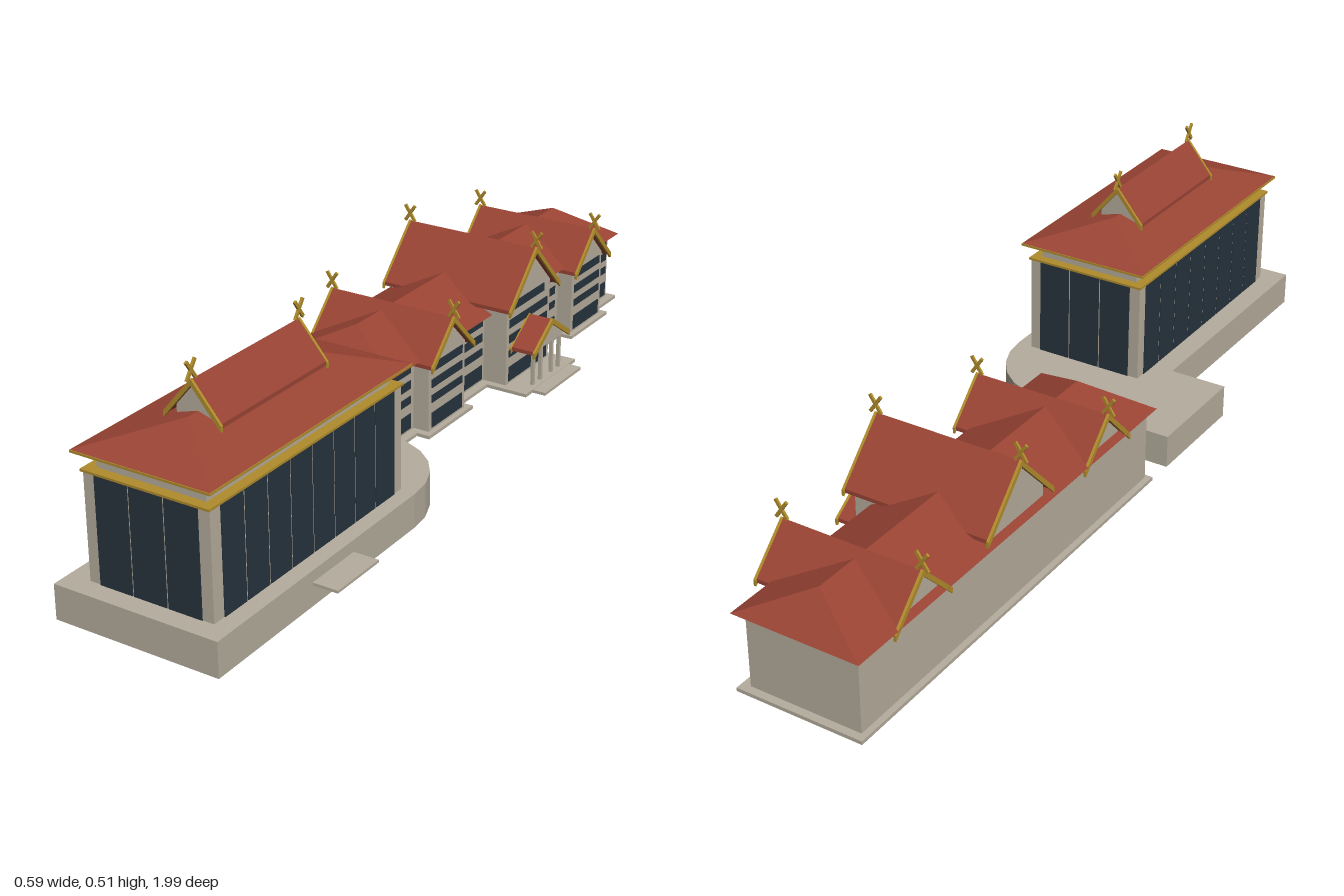
import * as THREE from 'three';

const material = (name, color, side = THREE.FrontSide) => {
  const m = new THREE.MeshStandardMaterial({ color, side });
  m.name = name;
  return m;
};

export function createModel() {
  const wall = material('wall stone', 0xb5ad9d, THREE.DoubleSide);
  const roof = material('roof tile', 0x9a4434, THREE.DoubleSide);
  const glass = material('dark glass', 0x27333e);
  const gold = material('gold trim', 0xb08c2c);

  const root = new THREE.Group();
  root.name = 'building complex';
  const group = (name) => {
    const g = new THREE.Group();
    g.name = name;
    root.add(g);
    return g;
  };
  const add = (parent, name, geo, mat) => {
    const m = new THREE.Mesh(geo, mat);
    m.name = name;
    parent.add(m);
    return m;
  };

  // Box given by its extents along each axis
  const box = (parent, name, mat, [x0, x1], [y0, y1], [z0, z1]) => {
    const m = add(parent, name, new THREE.BoxGeometry(x1 - x0, y1 - y0, z1 - z0), mat);
    m.position.set((x0 + x1) / 2, (y0 + y1) / 2, (z0 + z1) / 2);
    return m;
  };

  // Flat-shaded surface from convex polygons
  const faces = (polys) => {
    const pos = [];
    for (const p of polys)
      for (let i = 1; i < p.length - 1; i++) pos.push(...p[0], ...p[i], ...p[i + 1]);
    const geo = new THREE.BufferGeometry();
    geo.setAttribute('position', new THREE.Float32BufferAttribute(pos, 3));
    geo.computeVertexNormals();
    return geo;
  };

  // Hipped roof with its ridge along z
  const hipRoof = (parent, name, [x0, x1], [y0, y1], [z0, z1], [r0, r1]) => {
    const xm = (x0 + x1) / 2;
    const a = [x0, y0, z1], b = [x1, y0, z1], c = [x1, y0, z0], d = [x0, y0, z0];
    const f = [xm, y1, r1], k = [xm, y1, r0];
    add(parent, name, faces([[a, b, f], [b, c, k, f], [c, d, k], [d, a, f, k], [a, d, c, b]]), roof);
  };

  // Symmetric profile [u, y] swept along x or z; u is measured from the centre line
  const prism = (parent, name, mat, pts, axis, centre, from, to) => {
    const shape = new THREE.Shape(pts.map(([u, y]) => new THREE.Vector2(u, y)));
    const geo = new THREE.ExtrudeGeometry(shape, { depth: to - from, bevelEnabled: false });
    if (axis === 'x') geo.rotateY(Math.PI / 2);
    const m = add(parent, name, geo, mat);
    if (axis === 'x') m.position.set(from, 0, centre);
    else m.position.set(centre, 0, from);
  };
  const chevron = (hw, eave, ridge, t) =>
    [[-hw, eave - t], [0, ridge - t], [hw, eave - t], [hw, eave], [0, ridge], [-hw, eave]];

  // Crossed ridge ornament lying in the plane of the ridge
  const finial = (parent, axis, x, y, z) => {
    for (const s of [-1, 1]) {
      const geo = new THREE.BoxGeometry(0.005, 0.047, 0.007);
      geo.rotateX(s * 0.6);
      if (axis === 'x') geo.rotateY(Math.PI / 2);
      add(parent, 'ridge finial', geo, gold).position.set(x, y + 0.019, z);
    }
  };

  // Gabled roof with gold bargeboards and optional finials at both ends
  const gableRoof = (parent, name, axis, centre, from, to, hw, eave, ridge, ornaments = true) => {
    prism(parent, name, roof, chevron(hw, eave, ridge, 0.009), axis, centre, from, to);
    const edge = chevron(hw + 0.003, eave - 0.002, ridge + 0.002, 0.014);
    for (const e of [from, to]) {
      prism(parent, 'bargeboard', gold, edge, axis, centre, e - 0.003, e + 0.003);
      if (!ornaments) continue;
      if (axis === 'x') finial(parent, axis, e, ridge, centre);
      else finial(parent, axis, centre, ridge, e);
    }
  };

  // ---- Podium: open-bottomed shell with a rounded back corner ----
  const podium = group('podium');
  const H = 0.077;
  const outline = [[0.235, 0.995], [-0.147, 0.995], [-0.147, 0.4], [-0.283, 0.4], [-0.283, 0.133], [0.04, 0.13]];
  for (let i = 1; i <= 6; i++) {
    const t = (i / 6) * Math.PI / 2;
    outline.push([0.04 + 0.19 * Math.sin(t), 0.33 - 0.2 * Math.cos(t)]);
  }
  const deck = new THREE.ShapeGeometry(new THREE.Shape(outline.map(([x, z]) => new THREE.Vector2(x, -z))));
  deck.rotateX(-Math.PI / 2).translate(0, H, 0);
  add(podium, 'podium deck', deck, wall);
  const sides = outline.map(([x, z], i) => {
    const [x2, z2] = outline[(i + 1) % outline.length];
    return [[x, 0, z], [x, H, z], [x2, H, z2], [x2, 0, z2]];
  });
  add(podium, 'podium sides', faces(sides), wall);
  box(podium, 'side ledge', wall, [0.235, 0.293], [0.048, 0.054], [0.56, 0.7]);

  // ---- Great hall ----
  const hall = group('great hall');
  box(hall, 'hall walls', wall, [-0.096, 0.194], [H, 0.31], [0.325, 0.95]);
  box(hall, 'hall cornice', gold, [-0.1, 0.197], [0.308, 0.313], [0.32, 0.955]);
  box(hall, 'upper band', wall, [-0.077, 0.175], [0.313, 0.35], [0.342, 0.933]);
  box(hall, 'eave trim', gold, [-0.113, 0.208], [0.347, 0.352], [0.305, 0.965]);
  hipRoof(hall, 'hall roof', [-0.112, 0.207], [0.3525, 0.4], [0.306, 0.964], [0.455, 0.815]);
  // Tall windows on the four walls
  for (let i = 0; i < 3; i++) {
    const x = -0.07 + i * 0.0805;
    for (const z of [0.323, 0.949]) box(hall, 'end window', glass, [x, x + 0.077], [H, 0.307], [z, z + 0.003]);
  }
  for (let i = 0; i < 8; i++) {
    const z = 0.352 + i * 0.0715;
    for (const x of [-0.098, 0.193]) box(hall, 'side window', glass, [x, x + 0.003], [H, 0.307], [z, z + 0.067]);
  }
  // Raised gable on the ridge
  prism(hall, 'raised gable wall', wall, [[-0.05, 0.36], [0.05, 0.36], [0.05, 0.402], [0, 0.461], [-0.05, 0.402]], 'z', 0.047, 0.478, 0.787);
  gableRoof(hall, 'raised gable roof', 'z', 0.047, 0.463, 0.803, 0.064, 0.394, 0.47);

  // ---- Long wing ----
  const wing = group('long wing');
  box(wing, 'wing slab', wall, [-0.284, 0.008], [0, 0.008], [-0.998, 0.068]);
  box(wing, 'wing walls', wall, [-0.27, -0.012], [0.008, 0.181], [-0.98, 0.058]);
  hipRoof(wing, 'wing roof', [-0.285, 0.009], [0.178, 0.245], [-0.998, 0.075], [-0.915, -0.015]);
  const rows = [[0.014, 0.05], [0.075, 0.093], [0.111, 0.131], [0.149, 0.169]];
  const windows = (x, z0, z1, list) => {
    for (const r of list) box(wing, 'window strip', glass, [x - 0.001, x + 0.002], r, [z0, z1]);
  };
  for (const [z0, z1] of [[-0.036, 0.05], [-0.348, -0.218], [-0.7, -0.572], [-0.972, -0.884]])
    windows(-0.012, z0, z1, rows);

  // Cross gables with projecting bays
  const bays = [
    { z: -0.127, hw: 0.077, x: 0.027, rw: 0.088, end: 0.044, eave: 0.174, ridge: 0.262 },
    { z: -0.46, hw: 0.102, x: 0.048, rw: 0.116, end: 0.065, eave: 0.204, ridge: 0.323 },
    { z: -0.793, hw: 0.077, x: 0.027, rw: 0.088, end: 0.044, eave: 0.174, ridge: 0.262 },
  ];
  for (const b of bays) {
    const big = b.hw > 0.1;
    const top = b.ridge - 0.008;
    const shoulder = top - (b.hw * (b.ridge - b.eave)) / b.rw;
    prism(wing, 'bay walls', wall, [[-b.hw, 0.008], [b.hw, 0.008], [b.hw, shoulder], [0, top], [-b.hw, shoulder]], 'x', b.z, -0.268, b.x);
    gableRoof(wing, 'bay roof', 'x', b.z, -0.281, b.end, b.rw, b.eave, b.ridge);
    box(wing, 'bay slab', wall, [0, big ? 0.113 : 0.04], [0, 0.008], [b.z - b.hw - 0.018, b.z + b.hw + 0.018]);
    windows(b.x, b.z - b.hw + 0.012, b.z + b.hw - 0.012, rows);
    if (big) windows(b.x, b.z - 0.072, b.z + 0.072, [[0.189, 0.209]]);
  }

  // ---- Entrance porch ----
  const porch = group('entrance porch');
  const pz = -0.46;
  box(porch, 'porch step', wall, [0.1, 0.146], [0, 0.007], [pz - 0.088, pz + 0.088]);
  gableRoof(porch, 'porch roof', 'x', pz, 0.05, 0.112, 0.083, 0.1, 0.155, false);
  prism(porch, 'porch gable', wall, [[-0.068, 0.092], [0.068, 0.092], [0.068, 0.102], [0, 0.147], [-0.068, 0.102]], 'x', pz, 0.05, 0.104);
  for (const u of [-0.062, -0.026, 0.026, 0.062])
    box(porch, 'porch post', wall, [0.094, 0.102], [0.007, 0.095], [pz + u - 0.004, pz + u + 0.004]);

  // ---- Covered link between podium and wing ----
  const link = group('covered link');
  prism(link, 'link roof', roof, [[-0.031, 0.042], [0.031, 0.042], [0.031, 0.046], [0, 0.064], [-0.031, 0.046]], 'z', -0.146, 0.056, 0.135);
  for (const x of [-0.17, -0.122])
    for (const z of [0.078, 0.122])
      box(link, 'link post', wall, [x - 0.003, x + 0.003], [0, 0.043], [z - 0.003, z + 0.003]);

  return root;
}
